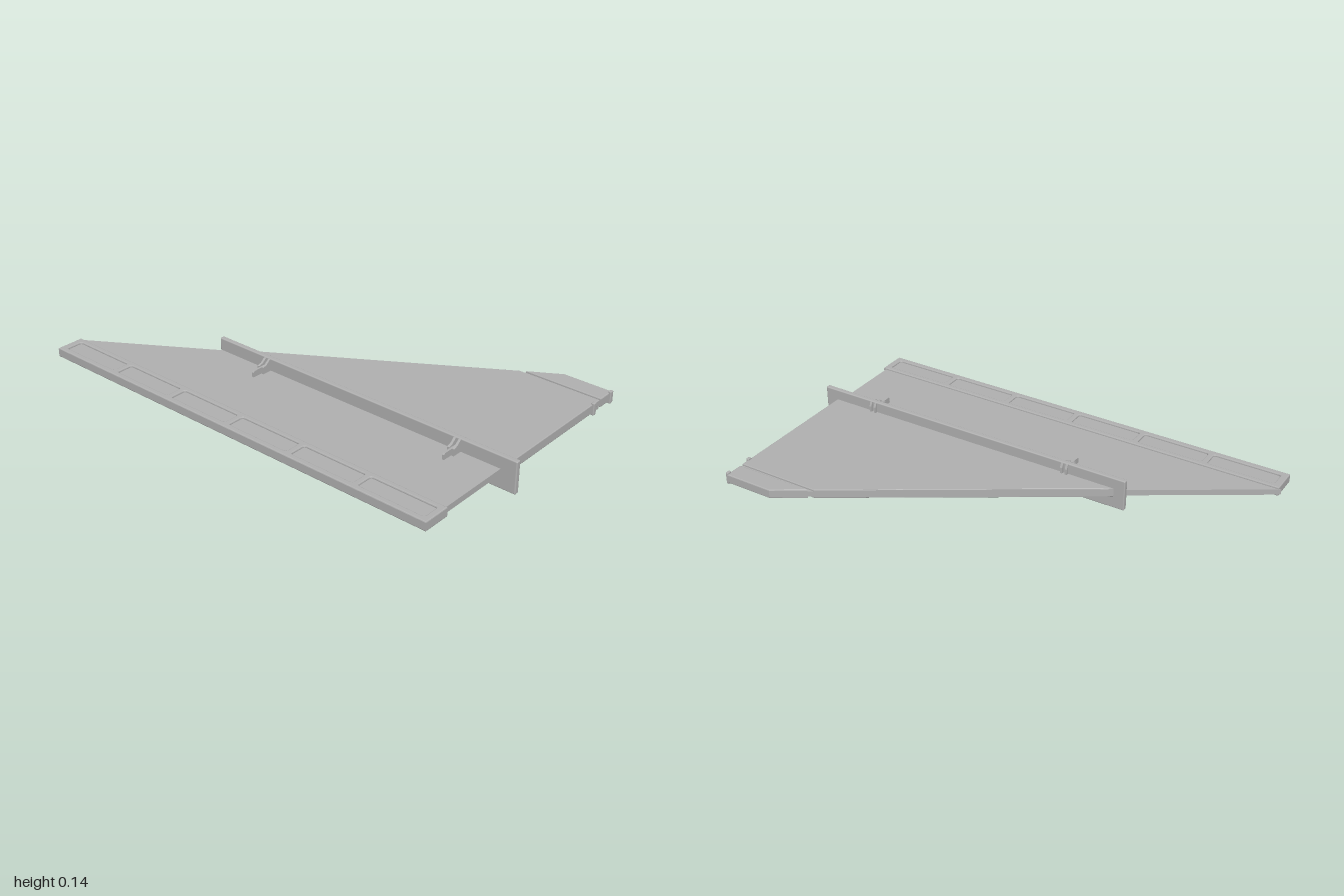
import * as THREE from 'three';
import { RoundedBoxGeometry } from 'three/addons/geometries/RoundedBoxGeometry.js';

const MID = 0.071; // height of the board's middle plane

export function createModel() {
  const group = new THREE.Group();
  const grey = new THREE.MeshStandardMaterial({ color: 0xb0b0b0 });
  grey.name = 'grey';

  function add(name, geometry, x = 0, y = 0, z = 0) {
    const mesh = new THREE.Mesh(geometry, grey);
    mesh.name = name;
    mesh.position.set(x, y, z);
    group.add(mesh);
    return mesh;
  }

  const outline = (pts) => new THREE.Shape(pts.map(([a, b]) => new THREE.Vector2(a, b)));

  // Flat slab from an x/z outline, centred on the board's middle plane
  function slab(name, shape, thickness, bevel = 0) {
    const g = new THREE.ExtrudeGeometry(shape, {
      depth: thickness - 2 * bevel, bevelEnabled: bevel > 0, bevelThickness: bevel,
      bevelSize: bevel, bevelOffset: -bevel, bevelSegments: 2, curveSegments: 4,
    });
    g.rotateX(Math.PI / 2);
    g.translate(0, MID + thickness / 2 - bevel, 0);
    return add(name, g);
  }

  // Slanted left edge of the board
  const slant = (z) => -1 + (0.48 - z) * 1.593;
  const wedge = (z0, z1, right) => outline([[slant(z0), z0], [right, z0], [right, z1], [slant(z1), z1]]);

  // Board sections from front to back
  slab('frontBoard', wedge(0.485, 0.13, 0.93), 0.025);
  slab('mainBoard', wedge(0.14, -0.505, 0.94), 0.04, 0.003);
  slab('tipGroove', wedge(-0.5, -0.525, 0.935), 0.024);
  slab('tipBoard', wedge(-0.518, -0.6, 0.94), 0.04, 0.004);

  // Front rail with a row of rounded recesses on both faces
  const rail = outline([[-1, 0.48], [0.94, 0.48], [0.94, 0.6], [-1, 0.6]]);
  for (let i = 0; i < 6; i++) {
    const x0 = -0.97 + i * 0.318, x1 = x0 + 0.294, z0 = 0.502, z1 = 0.576, r = 0.012;
    const hole = new THREE.Path();
    hole.moveTo(x0 + r, z0);
    hole.lineTo(x1 - r, z0).quadraticCurveTo(x1, z0, x1, z0 + r);
    hole.lineTo(x1, z1 - r).quadraticCurveTo(x1, z1, x1 - r, z1);
    hole.lineTo(x0 + r, z1).quadraticCurveTo(x0, z1, x0, z1 - r);
    hole.lineTo(x0, z0 + r).quadraticCurveTo(x0, z0, x0 + r, z0);
    rail.holes.push(hole);
  }
  slab('frontRail', rail, 0.04, 0.004);
  add('railPanel', new THREE.BoxGeometry(1.91, 0.024, 0.09), -0.03, MID, 0.54);

  // Upright cross plate
  add('crossPlate', new RoundedBoxGeometry(1.488, 0.138, 0.022, 2, 0.005), 0.254, 0.069, 0.14);

  // Brackets: paired cheeks around a thin tongue, above and below the board
  function sideCut(name, pts, width, x) {
    const g = new THREE.ExtrudeGeometry(outline(pts), { depth: width, bevelEnabled: false });
    g.rotateY(-Math.PI / 2);
    add(name, g, x + width / 2, MID, 0);
  }
  const mirrored = (pts) => [...pts, ...pts.map(([z, y]) => [z, -y]).reverse()];
  const cheek = mirrored([[0.118, 0.045], [0.126, 0.064], [0.155, 0.064], [0.175, 0.047], [0.194, 0.042]]);
  const tongue = mirrored([[0.15, 0.039], [0.232, 0.039], [0.238, 0.033]]);
  for (const x of [-0.217, 0.738]) {
    for (const s of [-1, 1]) sideCut('bracketCheek', cheek, 0.01, x + s * 0.011);
    sideCut('bracketTongue', tongue, 0.009, x);
  }

  // Small end caps on the straight side edge
  for (const z of [-0.589, -0.464]) {
    add('edgeCap', new RoundedBoxGeometry(0.014, 0.054, 0.02, 2, 0.004), 0.941, MID, z);
  }

  return group;
}
